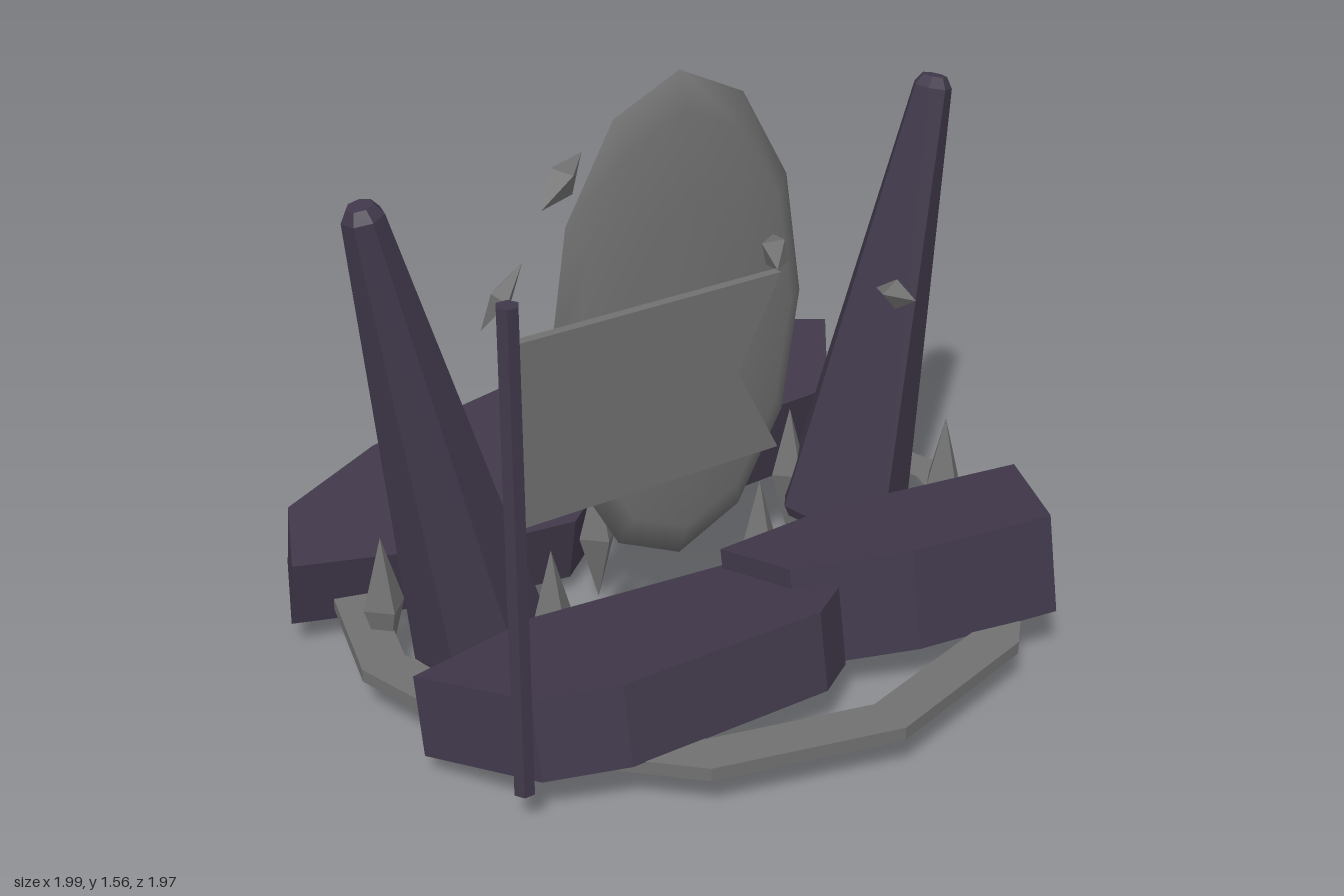
import * as THREE from 'three';

const stone = new THREE.MeshStandardMaterial({ color: 0x40384a });
stone.name = 'dark stone';
const grey = new THREE.MeshStandardMaterial({ color: 0x707070 });
grey.name = 'pale grey';

// Separate the faces so that each one is shaded flat
function flat(geometry) {
  const g = geometry.index ? geometry.toNonIndexed() : geometry;
  g.computeVertexNormals();
  return g;
}

function add(parent, name, geometry, material) {
  const mesh = new THREE.Mesh(geometry, material);
  mesh.name = name;
  parent.add(mesh);
  return mesh;
}

const polygon = (points) => new THREE.Shape(points.map(([x, y]) => new THREE.Vector2(x, y)));

// Thick slab with a top outline in plan (x, z), rising away from the middle
function slabGeometry(outline, height, thickness) {
  const slope = 0.186, tilt = Math.atan(slope);
  const g = new THREE.ExtrudeGeometry(polygon(outline.map(([x, z]) => [x, -z])),
    { depth: thickness, bevelEnabled: false });
  g.rotateX(-Math.PI / 2);
  const p = g.attributes.position;
  for (let i = 0; i < p.count; i++) {
    const z = p.getZ(i), drop = thickness - p.getY(i);
    p.setY(i, height + slope * Math.abs(z) - drop * Math.cos(tilt));
    p.setZ(i, z + Math.sign(z) * drop * Math.sin(tilt));
  }
  return flat(g);
}

// Four-sided crystal stretched between two tips
function crystal(parent, name, from, to, width) {
  const a = new THREE.Vector3(...from), b = new THREE.Vector3(...to);
  const axis = b.clone().sub(a);
  const g = new THREE.OctahedronGeometry(1).scale(width, axis.length() / 2, width);
  const mesh = add(parent, name, flat(g), grey);
  mesh.position.copy(a).add(b).multiplyScalar(0.5);
  mesh.quaternion.setFromUnitVectors(new THREE.Vector3(0, 1, 0), axis.normalize());
}

export function createModel() {
  const model = new THREE.Group();
  model.name = 'portalShrine';

  // Twelve-sided ground ring
  const circle = (r) => Array.from({ length: 12 }, (_, i) =>
    [r * Math.sin(i * Math.PI / 6), r * Math.cos(i * Math.PI / 6)]);
  const ringShape = polygon(circle(0.985));
  ringShape.holes.push(polygon(circle(0.862)));
  const ring = new THREE.ExtrudeGeometry(ringShape, { depth: 0.036, bevelEnabled: false });
  add(model, 'groundRing', ring.rotateX(-Math.PI / 2).translate(0, 0.111, 0), grey);

  // Four tilted slabs
  const slabs = [
    ['frontRightSlab', 0.226, 0.215, [[-0.98, 0.28], [-0.84, 0.61], [-0.64, 0.70],
      [-0.06, 0.71], [0.07, 0.62], [0.0, 0.28], [-0.59, 0.19]]],
    ['frontLeftSlab', 0.281, 0.275, [[-0.06, 0.28], [0.34, 0.26], [0.88, 0.39],
      [0.675, 0.75], [0.27, 0.67], [-0.02, 0.53]]],
    ['backRightSlab', 0.214, 0.2, [[-1.0, -0.36], [-0.9, -0.59], [-0.56, -0.74],
      [-0.03, -0.84], [0.13, -0.66], [0.03, -0.37], [-0.22, -0.19], [-0.5, -0.22]]],
    ['backLeftSlab', 0.285, 0.27, [[-0.09, -0.55], [0.13, -0.71], [0.76, -0.73],
      [0.99, -0.62], [0.76, -0.31], [0.30, -0.29], [-0.02, -0.39]]],
  ];
  for (const [name, height, thickness, outline] of slabs)
    add(model, name, slabGeometry(outline, height, thickness), stone);

  // Pair of tapered pillars leaning outward
  const pillarProfile = [[0, 0], [0.17, 0], [0.19, 0.03], [0.055, 1.31], [0.035, 1.34], [0, 1.34]]
    .map(([r, y]) => new THREE.Vector2(r, y));
  for (const side of [-1, 1]) {
    const pillar = add(model, side > 0 ? 'leftPillar' : 'rightPillar',
      flat(new THREE.LatheGeometry(pillarProfile, 7)), stone);
    pillar.position.set(side * 0.605, 0.075, -0.04);
    pillar.rotation.z = -side * 0.212;
  }

  // Oval lens standing in the middle
  const lensProfile = [[0, -0.072], [0.5, -0.06], [0.86, -0.035], [1, 0],
    [0.86, 0.035], [0.5, 0.06], [0, 0.072]].map(([r, y]) => new THREE.Vector2(r, y));
  const lens = new THREE.LatheGeometry(lensProfile, 12).rotateX(Math.PI / 2).scale(0.4, 0.7, 1);
  add(model, 'portalLens', lens.translate(0, 0.87, 0), grey);

  // Flagpole and swallow-tailed flag
  const pole = add(model, 'flagpole', flat(new THREE.CylinderGeometry(0.028, 0.028, 1.265, 6)), stone);
  pole.position.set(-0.875, 0.735, 0.625);
  pole.rotation.y = Math.PI / 6;
  const flagShape = polygon([[-0.86, 0.82], [-0.15, 0.82], [-0.27, 1.047], [-0.15, 1.275], [-0.86, 1.275]]);
  const flag = new THREE.ExtrudeGeometry(flagShape, { depth: 0.025, bevelEnabled: false });
  add(model, 'flag', flag.translate(0, 0, 0.611), grey);

  // Upright crystals near the ground, in two staggered rows
  for (let i = 0; i < 6; i++) {
    const x = -0.835 + i * 0.334, z = i % 2 ? 0.145 : -0.16;
    crystal(model, 'groundCrystal', [x, 0.005, z], [x, 0.41, z], 0.06);
  }

  // Floating shards around the lens
  const shards = [
    [[-0.56, 1.39, 0.245], [-0.375, 1.465, 0.13], 0.042],
    [[0.065, 1.125, 0.34], [0.185, 1.135, 0.16], 0.042],
    [[0.62, 0.865, 0.235], [0.65, 0.825, 0.03], 0.042],
    [[0.19, 1.18, -0.275], [0.2, 1.395, -0.225], 0.036],
    [[-0.47, 0.88, -0.235], [-0.37, 1.07, -0.18], 0.036],
  ];
  for (const [from, to, width] of shards) crystal(model, 'floatingShard', from, to, width);

  return model;
}
